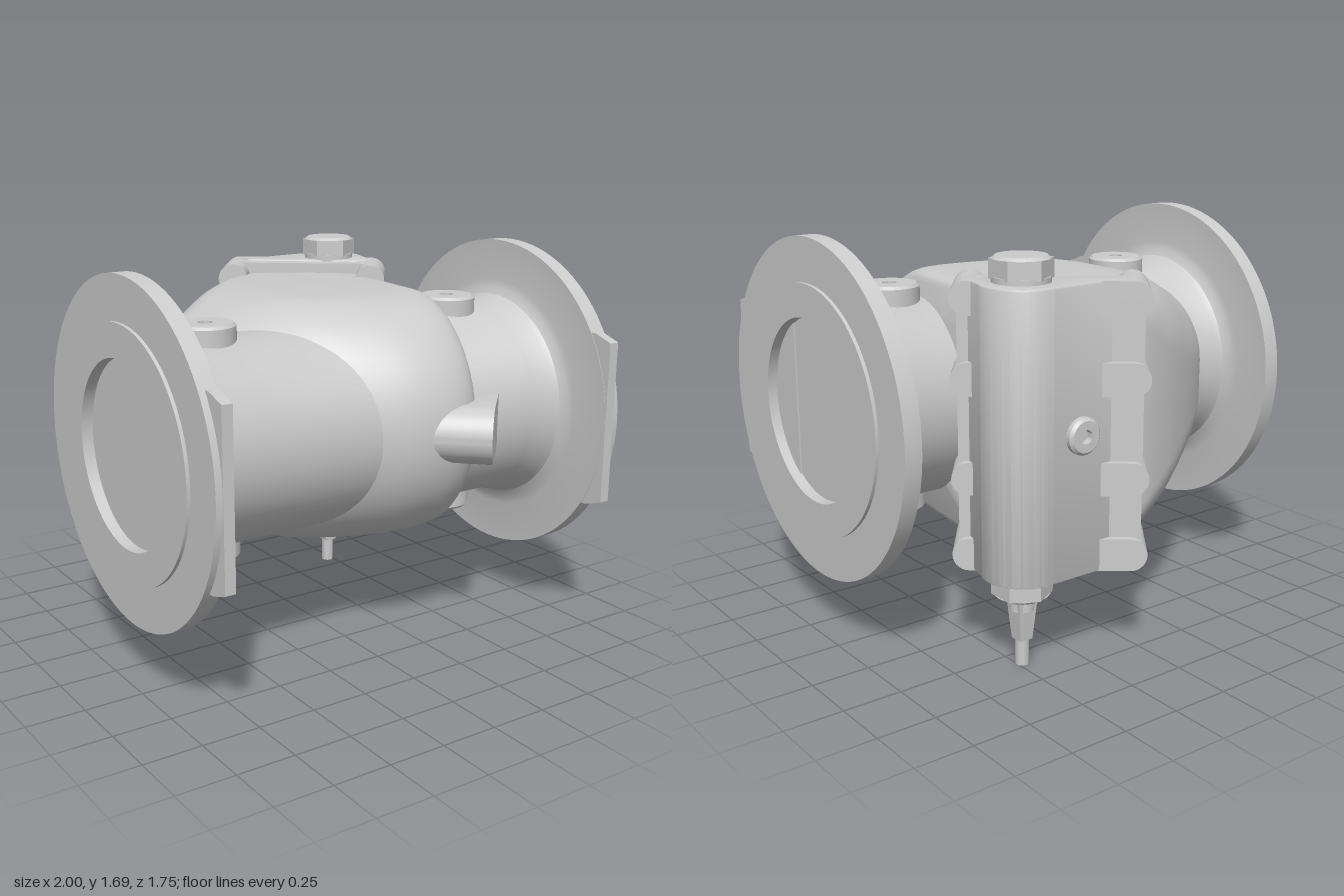
import * as THREE from 'three';
import { toCreasedNormals } from 'three/addons/utils/BufferGeometryUtils.js';

const AY = 0.98, AZ = 0.155; // pipe axis
const mat = new THREE.MeshStandardMaterial({ color: 0xcccccc });

function add(parent, name, geo, pos = [0, 0, 0], crease = 0.5) {
  const mesh = new THREE.Mesh(toCreasedNormals(geo, crease), mat);
  mesh.name = name;
  mesh.position.set(...pos);
  parent.add(mesh);
  return mesh;
}

const lathe = (pts, seg) => new THREE.LatheGeometry(pts.map(p => new THREE.Vector2(...p)), seg);

// Disc boss with a small blind hole, standing on y = 0
const bossGeometry = (r, h, hole) => lathe([[0, 0], [r, 0], [r, h - 0.012], [r - 0.012, h],
  [hole, h], [hole, h - 0.03], [0, h - 0.03]], 40);

// Straight pipe with both flanges, raised faces and shallow blind bores
function pipeGeometry() {
  const half = [[0, -0.95], [0.385, -0.95], [0.385, -1], [0.525, -1], [0.525, -0.985], [0.71, -0.985],
    [0.71, -0.91], [0.53, -0.91], [0.495, -0.903], [0.465, -0.885], [0.452, -0.86], [0.443, -0.81], [0.425, -0.76]];
  const other = half.map(([r, x]) => [r, -x]).reverse();
  return lathe([...half, ...other], 96).rotateZ(-Math.PI / 2);
}

// Chamber: rounded cross-sections lofted along x
function chamberGeometry() {
  // x, back z, front z, half height, back corner radius
  const st = [[-0.78, -0.2, 0, 0.18, 0.15], [-0.72, -0.32, 0.1, 0.3, 0.24], [-0.6, -0.44, 0.22, 0.385, 0.29],
    [-0.45, -0.55, 0.34, 0.445, 0.31], [-0.3, -0.635, 0.43, 0.505, 0.3], [-0.18, -0.685, 0.51, 0.528, 0.26],
    [-0.03, -0.72, 0.59, 0.53, 0.16], [0.08, -0.71, 0.635, 0.53, 0.09], [0.2, -0.62, 0.66, 0.53, 0.06],
    [0.33, -0.5, 0.66, 0.53, 0.05], [0.42, -0.41, 0.635, 0.526, 0.05], [0.46, -0.37, 0.6, 0.513, 0.05],
    [0.475, -0.35, 0.56, 0.49, 0.05]];
  const plan = new THREE.CatmullRomCurve3(st.map(s => new THREE.Vector3(s[0], s[1], s[2])));
  const size = new THREE.CatmullRomCurve3(st.map(s => new THREE.Vector3(s[3], s[4], s[0])));
  const rows = 48, q = 14, n = 4 * (q + 1), pos = [], idx = [];
  for (let i = 0; i <= rows; i++) {
    const { x, y: zB, z: zF } = plan.getPoint(i / rows);
    const { x: h, y: r } = size.getPoint(i / rows);
    const af = Math.min(0.5, 0.6 * (zF - zB));
    const lean = 0.1 * THREE.MathUtils.smoothstep(x, 0.2, 0.45);
    for (let k = 0; k < 4; k++) for (let j = 0; j <= q; j++) {
      const a = (k + j / q) * Math.PI / 2, c = Math.cos(a), s = Math.sin(a);
      const front = k === 0 || k === 3;
      // tiny lift keeps the shared mid point of the front from doubling
      const z = front ? zF - af + af * c : zB + r + r * c;
      const y = front ? h * s : (k === 1 ? h - r : r - h) + r * s;
      pos.push(x - lean * (z - 0.2), AY + y, z);
    }
  }
  for (let i = 0; i < rows; i++) for (let j = 0; j < n; j++) {
    const a = i * n + j, b = i * n + (j + 1) % n, c = a + n, d = b + n;
    idx.push(a, c, b, b, c, d);
  }
  for (let j = 1; j < n - 1; j++) {
    const e = rows * n;
    idx.push(0, j, j + 1, e, e + j + 1, e + j);
  }
  const g = new THREE.BufferGeometry();
  g.setAttribute('position', new THREE.Float32BufferAttribute(pos, 3));
  g.setIndex(idx);
  return g;
}

// Rectangle plate with rounded corners, from z0 to z1
function plateGeometry(w, h, r, z0, z1) {
  const s = new THREE.Shape();
  s.absarc(w - r, h - r, r, 0, Math.PI / 2);
  s.absarc(r - w, h - r, r, Math.PI / 2, Math.PI);
  s.absarc(r - w, r - h, r, Math.PI, Math.PI * 1.5);
  s.absarc(w - r, r - h, r, Math.PI * 1.5, Math.PI * 2);
  return new THREE.ExtrudeGeometry(s, { depth: z1 - z0, bevelEnabled: false }).translate(0, 0, z0);
}

// Round bolt boss along z
const stud = (r, z0, z1) => new THREE.CylinderGeometry(r, r, z1 - z0, 28)
  .rotateX(Math.PI / 2).translate(0, 0, (z0 + z1) / 2);

export function createModel() {
  const model = new THREE.Group();
  model.name = 'checkValve';
  add(model, 'flangedPipe', pipeGeometry(), [0, AY, AZ]);
  add(model, 'chamber', chamberGeometry(), [0, 0, 0], 0.7);

  // Flat standing pads on the front of both flanges
  for (const side of [-1, 1]) {
    const pad = new THREE.Shape([[0.2, -0.38], [0.625, -0.38], [0.713, -0.35], [0.713, 0.35], [0.625, 0.38], [0.2, 0.38]]
      .map(p => new THREE.Vector2(...p)));
    const geo = new THREE.ExtrudeGeometry(pad, { depth: 0.045, bevelEnabled: false }).rotateY(-Math.PI / 2);
    add(model, 'flangePad', geo, [side < 0 ? -0.912 : 0.957, AY, AZ]);
  }

  // Tapping bosses above and below the pipe
  for (const x of [-0.62, 0.61]) for (const s of [-1, 1]) {
    const boss = add(model, 'tappingBoss', bossGeometry(0.125, 0.14, 0.03), [x, AY + s * 0.35, AZ]);
    if (s < 0) boss.rotation.x = Math.PI;
  }

  // Diagonal lug with one rounded edge
  const lug = new THREE.Shape();
  lug.moveTo(0.36, -0.123);
  lug.lineTo(0.36, 0.123);
  lug.lineTo(0.123, 0.123);
  lug.absarc(0.123, 0, 0.123, Math.PI / 2, Math.PI * 1.5);
  const lugMesh = add(model, 'diagonalLug',
    new THREE.ExtrudeGeometry(lug, { depth: 0.4, bevelEnabled: false, curveSegments: 20 }).translate(0, 0, -0.4),
    [0.32, AY, 0.82]);
  lugMesh.rotation.y = Math.PI / 4;

  // Angled joint: body flange, cover plate and bolt bosses
  const joint = new THREE.Group();
  joint.name = 'coverJoint';
  joint.position.set(0.33, AY, -0.575);
  joint.rotation.y = Math.atan2(0.61, -0.79);
  model.add(joint);
  add(joint, 'bodyFlange', plateGeometry(0.36, 0.575, 0.07, -0.08, 0.012));
  add(joint, 'gasket', plateGeometry(0.35, 0.565, 0.06, 0.01, 0.022));
  add(joint, 'coverPlate', plateGeometry(0.36, 0.575, 0.07, 0.02, 0.06));
  for (const sx of [-1, 1]) for (const y of [-0.515, -0.2, 0.2, 0.515]) {
    const x = sx * 0.32, corner = Math.abs(y) > 0.4;
    add(joint, 'coverBoss', stud(0.067, 0.02, 0.09), [x, y, 0]);
    add(joint, 'coverBossRib', new THREE.BoxGeometry(0.16, 0.134, 0.07), [x - sx * 0.08, y, 0.055]);
    add(joint, 'bodyBoss', stud(0.067, corner ? -0.19 : -0.08, 0.012), [x, y, 0]);
  }

  // Shaft housing on the cover
  const sh = new THREE.Shape();
  sh.moveTo(0.12, 0.73);
  sh.lineTo(0.16, 0.755);
  sh.lineTo(0.48, 0.76);
  sh.absarc(0.48, 0.6, 0.165, Math.PI / 2, -0.45, true);
  sh.lineTo(0.6, 0.4);
  sh.lineTo(0.52, 0.42);
  const housing = new THREE.ExtrudeGeometry(sh, {
    depth: 1.145, bevelThickness: 0.01, bevelSize: 0.01, bevelSegments: 2, curveSegments: 24
  }).rotateX(-Math.PI / 2);
  add(model, 'shaftHousing', housing, [0, 0.408, 0]);
  const plug = add(model, 'housingPlug', bossGeometry(0.075, 0.06, 0.028), [0.33, AY, -0.74]);
  plug.rotation.x = -Math.PI / 2;

  // Hexagon nuts, and the tapered drive stem below
  const SX = 0.478, SZ = -0.585;
  for (const [y, r] of [[1.615, 0.124], [0.348, 0.124]]) {
    const s = y > 1 ? 1 : -1;
    add(model, 'hexNut', new THREE.CylinderGeometry(r, r, 0.075, 6), [SX, y, SZ]);
    add(model, 'nutChamfer', new THREE.CylinderGeometry(s > 0 ? 0.1 : r - 0.01, s > 0 ? r - 0.01 : 0.1, 0.012, 32),
      [SX, y + s * 0.0425, SZ]);
    add(model, 'nutWasher', new THREE.CylinderGeometry(0.115, 0.115, 0.03, 36), [SX, y - s * 0.045, SZ]);
  }
  add(model, 'stemCollar', new THREE.CylinderGeometry(0.05, 0.05, 0.08, 28), [SX, 0.28, SZ]);
  const taper = new THREE.CylinderGeometry(0.066, 0.042, 0.2, 4).rotateY(Math.PI / 4);
  add(model, 'squareStem', taper, [SX, 0.21, SZ]);
  add(model, 'stemPin', new THREE.CylinderGeometry(0.028, 0.028, 0.13, 24), [SX, 0.065, SZ]);
  return model;
}
